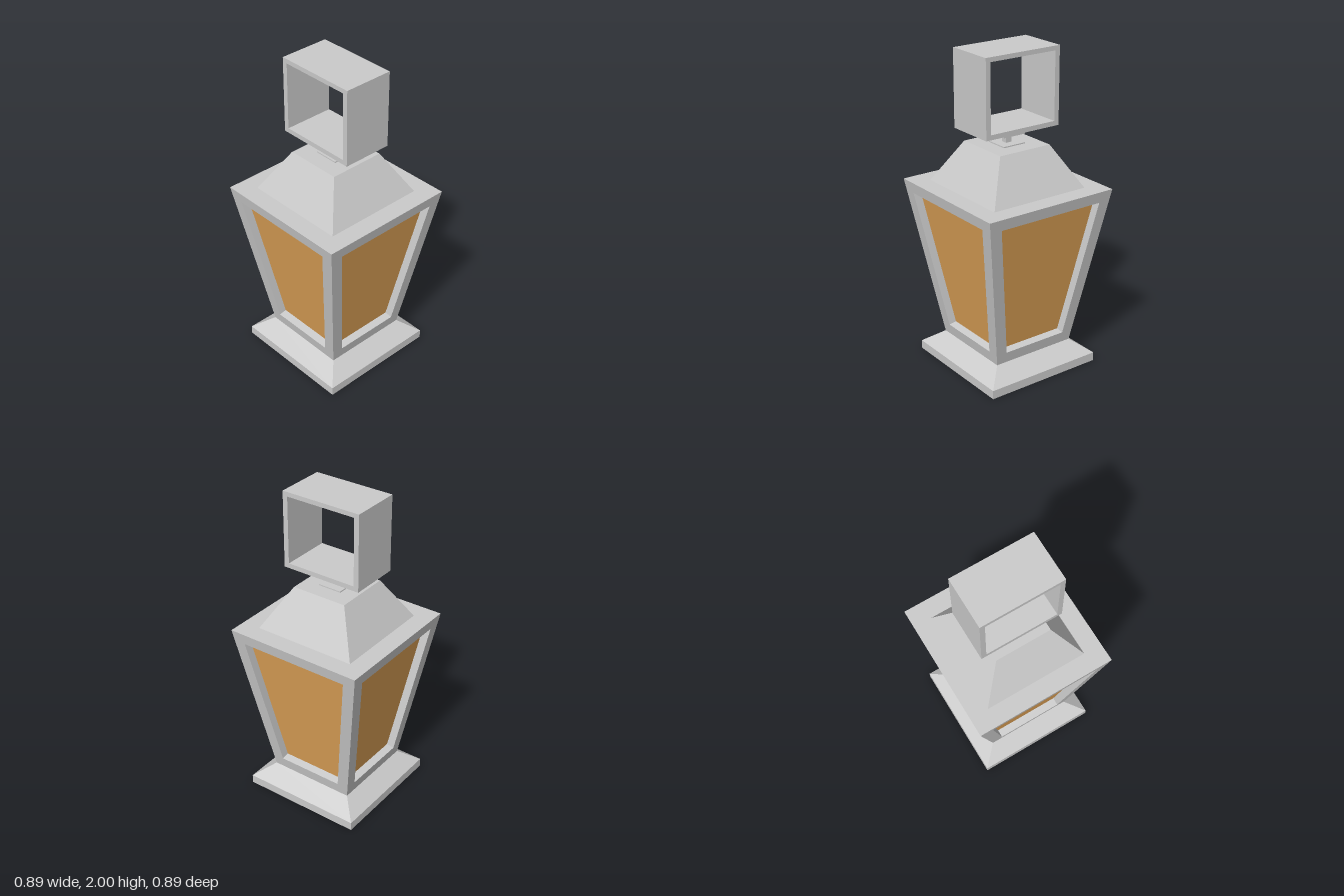
import * as THREE from 'three';

const metal = new THREE.MeshStandardMaterial({ color: 0xcccccc, flatShading: true });
const amber = new THREE.MeshStandardMaterial({ color: 0xe0a458, flatShading: true });

function add(parent, name, geometry, material = metal) {
  const mesh = new THREE.Mesh(geometry, material);
  mesh.name = name;
  parent.add(mesh);
  return mesh;
}

// Square-section solid from a profile of [half width, height], bottom to top
function squareLoft(profile) {
  const points = profile.map(([h, y]) => new THREE.Vector2(h * Math.SQRT2, y));
  return new THREE.LatheGeometry(points, 4, Math.PI / 4);
}

// Flat quads, corners counter-clockwise as seen from their front
function quads(list) {
  const pos = [];
  for (const [a, b, c, d] of list) pos.push(...a, ...b, ...c, ...a, ...c, ...d);
  const g = new THREE.BufferGeometry();
  g.setAttribute('position', new THREE.Float32BufferAttribute(pos, 3));
  g.computeVertexNormals();
  return g;
}

function box(parent, name, half, y0, y1) {
  add(parent, name, new THREE.BoxGeometry(half * 2, y1 - y0, half * 2)).position.y = (y0 + y1) / 2;
}

// Half width of the flared body at a given height
const bodyHalf = (y) => 0.278 + (0.447 - 0.278) * (y - 0.14) / (1.16 - 0.14);

export function createModel() {
  const model = new THREE.Group();
  model.name = 'lantern';

  add(model, 'base', squareLoft([[0, 0], [0.39, 0], [0.39, 0.055], [0.278, 0.14], [0, 0.14]]));

  // Four sloping sides, each a frame around a recessed amber pane
  const loop = (y0, h0, y1, h1) => [
    [-h0, y0, bodyHalf(y0)], [h0, y0, bodyHalf(y0)],
    [h1, y1, bodyHalf(y1)], [-h1, y1, bodyHalf(y1)],
  ];
  const outer = loop(0.14, 0.278, 1.16, 0.447);
  const opening = loop(0.21, 0.215, 1.09, 0.358);
  const slope = Math.atan2(0.447 - 0.278, 1.02), depth = 0.05;
  const recess = opening.map(([x, y, z]) =>
    [x, y + depth * Math.sin(slope), z - depth * Math.cos(slope)]);
  const strips = [];
  for (const [a, b] of [[outer, opening], [opening, recess]]) {
    for (let i = 0; i < 4; i++) {
      const j = (i + 1) % 4;
      strips.push([a[i], a[j], b[j], b[i]]);
    }
  }
  const frameGeometry = quads(strips), paneGeometry = quads([recess]);
  for (let i = 0; i < 4; i++) {
    const side = new THREE.Group();
    side.name = 'bodySide';
    side.rotation.y = i * Math.PI / 2;
    add(side, 'frame', frameGeometry);
    add(side, 'pane', paneGeometry, amber);
    model.add(side);
  }

  // Top deck and tapering roof
  add(model, 'deck', squareLoft([[0.447, 1.16], [0, 1.16]]));
  add(model, 'roof', squareLoft([[0.33, 1.16], [0.18, 1.42], [0, 1.42]]));

  // Short stem carrying the handle
  box(model, 'stemFoot', 0.077, 1.415, 1.427);
  box(model, 'stem', 0.02, 1.42, 1.49);
  box(model, 'stemCollar', 0.077, 1.48, 1.523);

  // Square handle, open front to back
  const rect = (Type, x, y0, y1) => new Type([[-x, y0], [x, y0], [x, y1], [-x, y1]]
    .map(([px, py]) => new THREE.Vector2(px, py)));
  const ring = rect(THREE.Shape, 0.262, 1.52, 2);
  ring.holes.push(rect(THREE.Path, 0.23, 1.55, 1.972));
  const handle = new THREE.ExtrudeGeometry(ring, { depth: 0.32, bevelEnabled: false });
  add(model, 'handle', handle.translate(0, 0, -0.16));

  return model;
}
